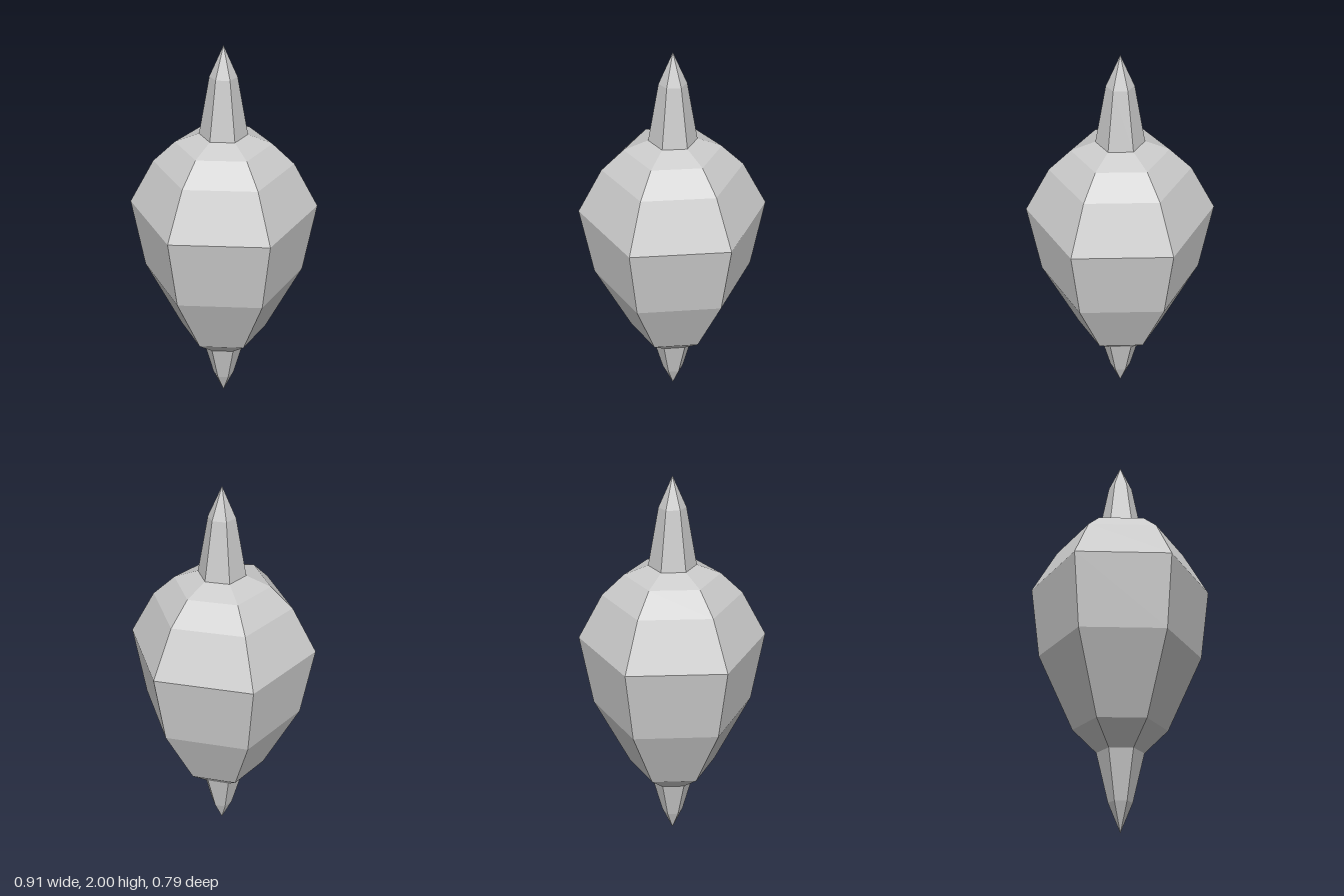
import * as THREE from 'three';

const SIDES = 6;

// Six-sided turned part; profile is [radius, height] from bottom to top
function turned(name, profile, material) {
  const points = profile.map(([r, y]) => new THREE.Vector2(r, y));
  const mesh = new THREE.Mesh(new THREE.LatheGeometry(points, SIDES, Math.PI / 2), material);
  mesh.name = name;
  return mesh;
}

export function createModel() {
  const model = new THREE.Group();
  model.name = 'spindle';
  const material = new THREE.MeshStandardMaterial({ color: 0xcccccc, flatShading: true });

  // Pointed tip below the body
  model.add(turned('lowerSpike', [[0, 0.005], [0.057, 0.14], [0.113, 0.37]], material));

  // Faceted bulb, widest above the middle
  model.add(turned('body', [
    [0.113, 0.37], [0.227, 0.48], [0.402, 0.855], [0.455, 1.222],
    [0.333, 1.443], [0.227, 1.543], [0.113, 1.587],
  ], material));

  // Pointed tip on top
  model.add(turned('upperSpike', [[0.113, 1.587], [0.063, 1.86], [0, 2]], material));

  return model;
}
